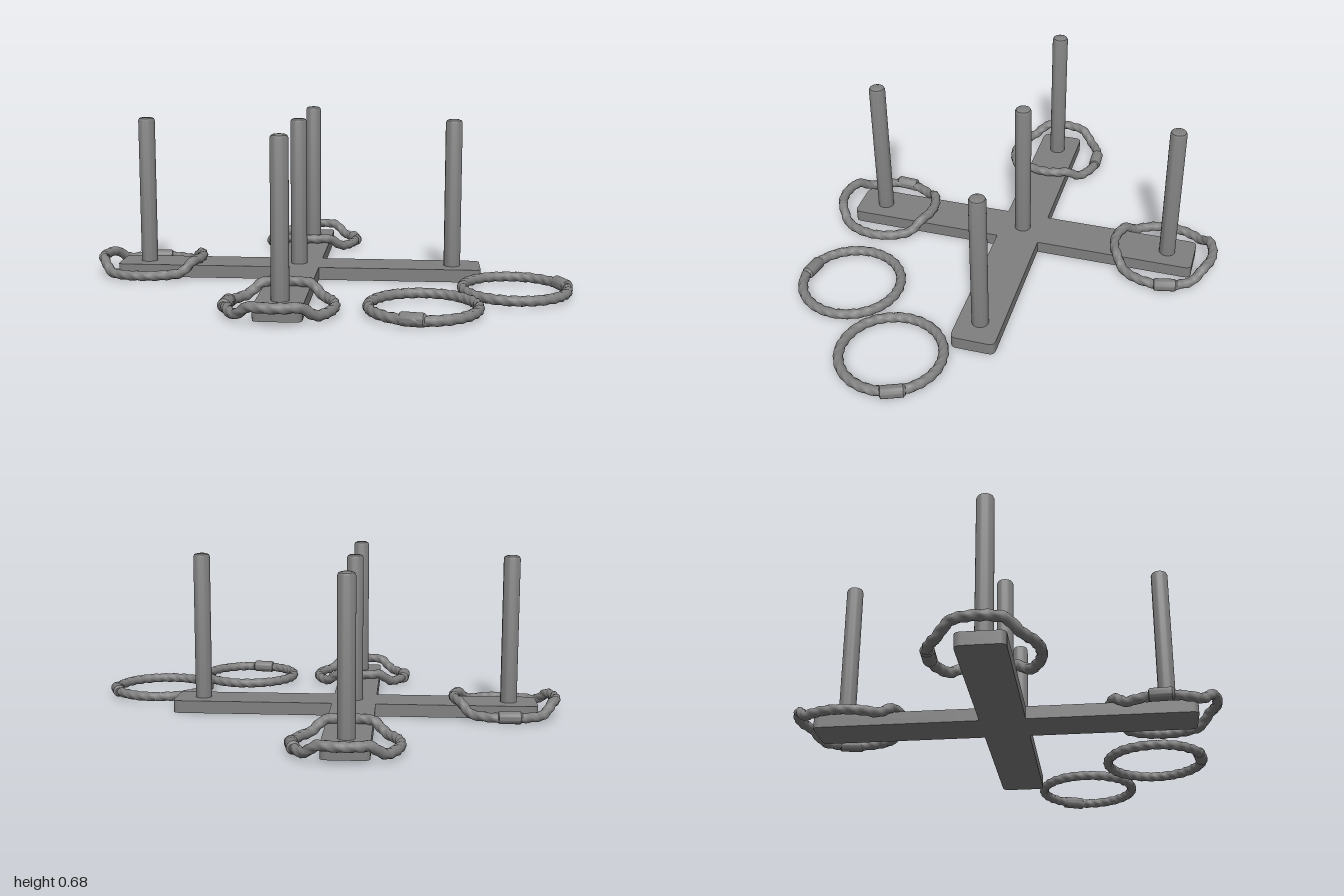
import * as THREE from 'three';
import { mergeVertices, toCreasedNormals } from 'three/addons/utils/BufferGeometryUtils.js';

const CX = -0.13;      // centre of the cross
const BOARD_H = 0.053;

// Closed loop; a "bent" loop is lifted where it crosses the board arm (along local x)
class RingCurve extends THREE.Curve {
  constructor(bent) {
    super();
    this.bent = bent;
  }
  getPoint(t, target = new THREE.Vector3()) {
    const a = t * Math.PI * 2;
    const x = Math.cos(a) * (this.bent ? 0.214 : 0.207);
    const z = Math.sin(a) * (this.bent ? 0.203 : 0.207);
    const lift = this.bent ? 1 - THREE.MathUtils.smoothstep(Math.abs(z), 0.085, 0.16) : 0;
    return target.set(x, 0.028 + 0.044 * lift, z);
  }
}

// Tube with three twisted strands
function ropeGeometry(curve) {
  const steps = 240, sides = 12, turns = 9;
  const g = new THREE.TubeGeometry(curve, steps, 0.02, sides, true);
  const pos = g.attributes.position, nor = g.attributes.normal;
  const p = new THREE.Vector3(), n = new THREE.Vector3();
  for (let i = 0; i < pos.count; i++) {
    const ring = Math.floor(i / (sides + 1)) / steps;
    const side = (i % (sides + 1)) / sides;
    const bump = 0.0017 * Math.cos(Math.PI * 2 * 3 * (side + turns * ring));
    p.fromBufferAttribute(pos, i);
    n.fromBufferAttribute(nor, i);
    p.addScaledVector(n, bump);
    pos.setXYZ(i, p.x, p.y, p.z);
  }
  g.deleteAttribute('uv');
  g.deleteAttribute('normal');
  const merged = mergeVertices(g, 1e-5);
  merged.computeVertexNormals();
  return merged;
}

// Upright rod with softened ends, standing on y = 0
function rodGeometry(radius, height, bevel, bevelBottom) {
  const b = bevelBottom ? bevel : 0;
  const pts = [
    [0, 0], [radius - b, 0], [radius, b], [radius, height - bevel],
    [radius - bevel * 0.3, height - bevel * 0.3], [radius - bevel, height], [0, height],
  ].filter((q, i) => bevelBottom || i !== 2).map(([x, y]) => new THREE.Vector2(x, y));
  return toCreasedNormals(new THREE.LatheGeometry(pts, 28), 0.6);
}

// Cross outline with rounded arm ends
function boardGeometry() {
  const L = 0.772, W = 0.093, r = 0.028;
  const s = new THREE.Shape();
  for (let k = 0; k < 4; k++) {
    const c = Math.cos(k * Math.PI / 2), n = Math.sin(k * Math.PI / 2);
    const at = (x, y) => [x * c - y * n, x * n + y * c];
    if (k === 0) s.moveTo(...at(W, -W));
    else s.lineTo(...at(W, -W));
    s.lineTo(...at(L - r, -W));
    s.quadraticCurveTo(...at(L, -W), ...at(L, -W + r));
    s.lineTo(...at(L, W - r));
    s.quadraticCurveTo(...at(L, W), ...at(L - r, W));
  }
  s.closePath();
  const g = new THREE.ExtrudeGeometry(s, { depth: BOARD_H, bevelEnabled: false, curveSegments: 6 });
  g.rotateX(-Math.PI / 2);
  return toCreasedNormals(g, 0.6);
}

export function createModel() {
  const grey = new THREE.MeshStandardMaterial({ color: 0x808080 });
  grey.name = 'grey';
  const model = new THREE.Group();
  model.name = 'ringTossGame';
  const add = (parent, name, geometry, x = 0, y = 0, z = 0) => {
    const mesh = new THREE.Mesh(geometry, grey);
    mesh.name = name;
    mesh.position.set(x, y, z);
    parent.add(mesh);
    return mesh;
  };

  // Cross-shaped base
  add(model, 'crossBase', boardGeometry(), CX);

  // Five posts
  const postGeo = rodGeometry(0.035, 0.635, 0.014, false);
  const d = 0.654;
  [['centrePost', 0, 0], ['leftPost', d, 0], ['rightPost', -d, 0], ['frontPost', 0, d], ['backPost', 0, -d]]
    .forEach(([name, x, z]) => add(model, name, postGeo, CX + x, 0.04, z));

  // Rope rings, each with a joining sleeve placed at an angle around the loop
  const flat = ropeGeometry(new RingCurve(false));
  const bent = ropeGeometry(new RingCurve(true));
  const sleeveGeo = rodGeometry(0.0265, 0.1, 0.009, true);
  sleeveGeo.translate(0, -0.05, 0);
  sleeveGeo.rotateX(Math.PI / 2);
  const rings = [
    // name, x, z, geometry, turn about y, sleeve x, sleeve z
    ['rightRing', -0.766, 0, bent, 0, -0.775, -0.198],
    ['backRing', CX, -0.637, bent, Math.PI / 2, 0.07, -0.68],
    ['frontRing', CX, 0.637, bent, Math.PI / 2, -0.338, 0.625],
    ['looseFrontRing', 0.403, 0.607, flat, 0, 0.365, 0.803],
    ['looseSideRing', 0.765, 0.294, flat, 0, 0.96, 0.215],
  ];
  for (const [name, x, z, geo, turn, sx, sz] of rings) {
    const ring = new THREE.Group();
    ring.name = name;
    ring.position.set(x, 0, z);
    add(ring, 'ropeLoop', geo).rotation.y = turn;
    const sleeve = add(ring, 'sleeve', sleeveGeo, sx - x, 0.03, sz - z);
    sleeve.rotation.y = Math.atan2(-(sz - z), sx - x);
    model.add(ring);
  }
  return model;
}
